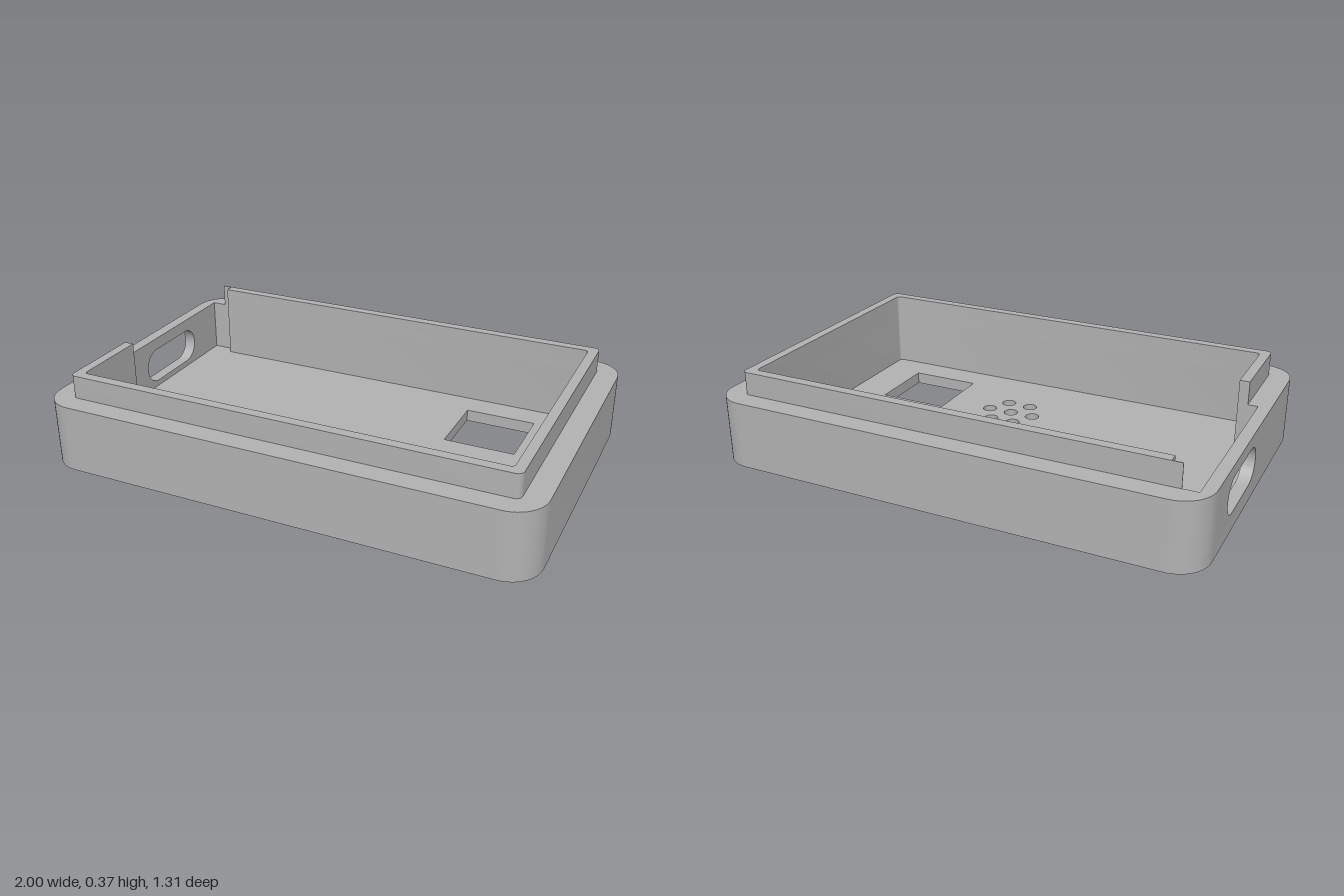
import * as THREE from 'three';
import { toCreasedNormals } from 'three/addons/utils/BufferGeometryUtils.js';

const FLOOR = 0.05, RIM = 0.275, TOP = 0.37;
const K = 0.5523; // bezier factor for a quarter circle

// Closed outline through [u, v, cornerRadius] points
function outline(points, PathType = THREE.Shape) {
  const path = new PathType();
  const n = points.length;
  points.forEach(([u, v, r = 0], i) => {
    const p = new THREE.Vector2(u, v);
    const towards = (q, d) => p.clone().add(new THREE.Vector2(q[0] - u, q[1] - v).setLength(d));
    const before = points[(i + n - 1) % n], after = points[(i + 1) % n];
    const a = towards(before, r), b = towards(after, r);
    if (i === 0) path.moveTo(a.x, a.y);
    else path.lineTo(a.x, a.y);
    if (r > 0) {
      const c = towards(before, r * (1 - K)), d = towards(after, r * (1 - K));
      path.bezierCurveTo(c.x, c.y, d.x, d.y, b.x, b.y);
    }
  });
  path.closePath();
  return path;
}

function rect(u0, u1, v0, v1, r, PathType) {
  return outline([[u0, v0, r], [u1, v0, r], [u1, v1, r], [u0, v1, r]], PathType);
}

function extrude(shape, depth) {
  return new THREE.ExtrudeGeometry(shape, { depth, bevelEnabled: false, curveSegments: 12 });
}

// Extrude an (x, z) outline between two heights
function slab(shape, y0, y1) {
  return extrude(shape, y1 - y0).rotateX(Math.PI / 2).translate(0, y1, 0);
}

export function createModel() {
  const group = new THREE.Group();
  const grey = new THREE.MeshStandardMaterial({ color: 0xb2b2b2 });
  grey.name = 'grey plastic';

  function add(name, geometry) {
    const mesh = new THREE.Mesh(toCreasedNormals(geometry, 0.5), grey);
    mesh.name = name;
    group.add(mesh);
  }

  // Floor with two square windows and a cluster of seven round vents
  const floor = rect(-1, 1, -0.655, 0.655, 0.13);
  floor.holes.push(rect(0.405, 0.7, -0.412, -0.118, 0, THREE.Path));
  floor.holes.push(rect(0.405, 0.7, 0.112, 0.405, 0, THREE.Path));
  const vent = (x, z) => floor.holes.push(new THREE.Path().absarc(x, z, 0.029, 0, Math.PI * 2));
  vent(0.105, 0.188);
  for (let i = 0; i < 6; i++) {
    const a = i * Math.PI / 3;
    vent(0.105 + 0.101 * Math.cos(a), 0.188 + 0.101 * Math.sin(a));
  }
  add('floor', slab(floor, 0, FLOOR));

  // Inner edge shared by the walls and lip, up to the notch at the back right corner
  const inner = [
    [-0.87, 0.204], [-0.87, 0.527, 0.015], [0.87, 0.527, 0.015],
    [0.87, -0.527, 0.015], [-0.849, -0.527], [-0.849, -0.565],
  ];

  // Thick walls, open where the slotted panel sits
  add('walls', slab(outline([
    [-1, -0.5], [-1, -0.655, 0.13], [1, -0.655, 0.13], [1, 0.655, 0.13], [-1, 0.655, 0.13],
    [-1, 0.204], ...inner, [-0.95, -0.565], [-0.95, -0.5],
  ]), FLOOR, RIM));

  // Raised lip, interrupted by the notch
  add('lip', slab(outline([
    [-0.89, -0.568], [0.91, -0.568, 0.025], [0.91, 0.568, 0.025], [-0.91, 0.568, 0.025],
    [-0.91, 0.204], ...inner, [-0.89, -0.565],
  ]), RIM, TOP));

  // Thin side panel with a rounded port slot
  const panel = rect(-0.204, 0.5, FLOOR, RIM, 0);
  panel.holes.push(rect(-0.008, 0.372, 0.075, 0.223, 0.0739, THREE.Path));
  add('portPanel', extrude(panel, 0.05).rotateY(Math.PI / 2).translate(-1, 0, 0));

  return group;
}
